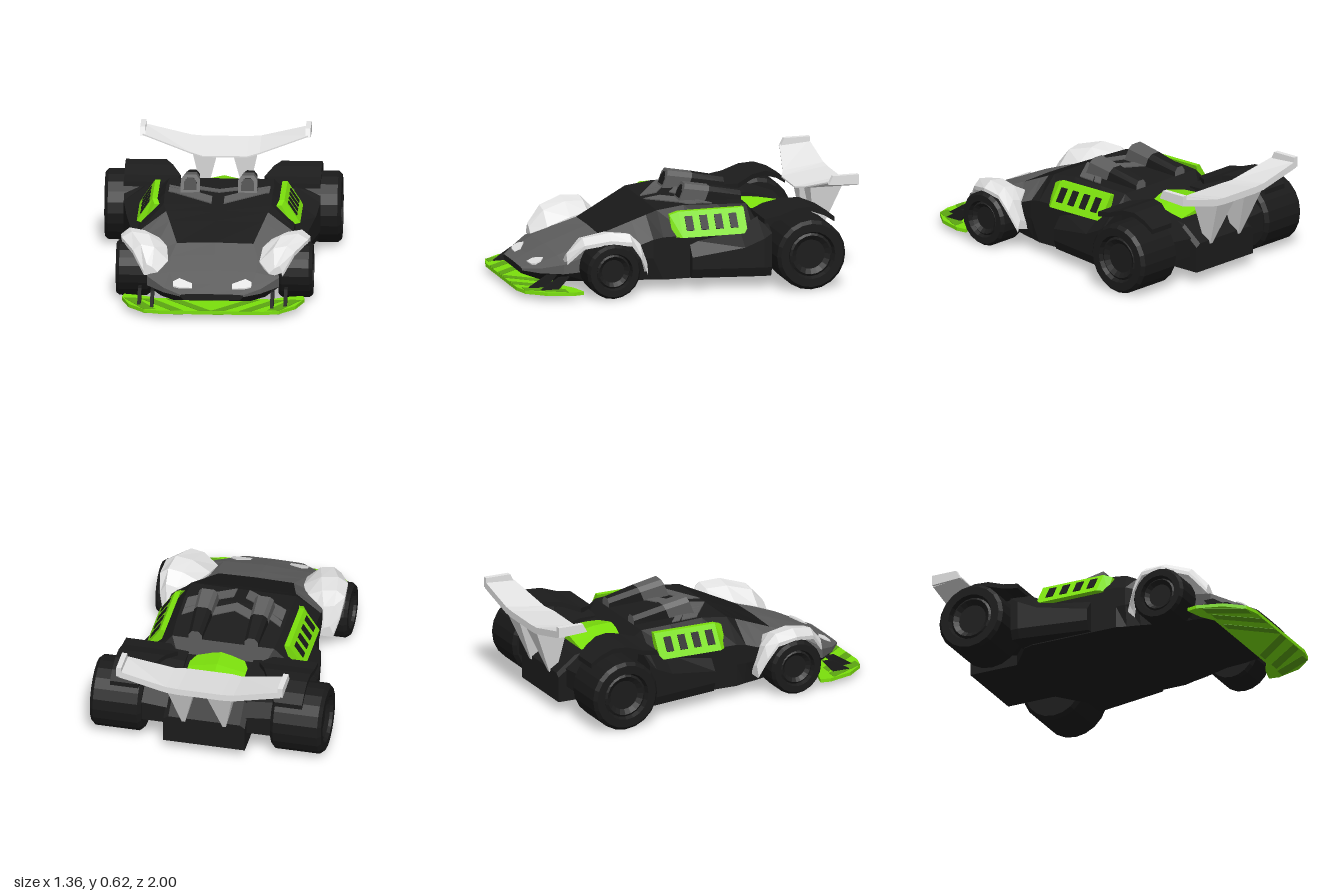
import * as THREE from 'three';

const mat = (name, color) => Object.assign(new THREE.MeshStandardMaterial({ color }), { name });

export function createModel() {
  const car = new THREE.Group();
  car.name = 'raceCar';
  const black = mat('bodyBlack', 0x1c1c1c), tyre = mat('tyreBlack', 0x1a1a1a), glass = mat('glassBlack', 0x191919);
  const grey = mat('panelGrey', 0x5e5e5e), silver = mat('silver', 0xe4e4e4);
  const green = mat('green', 0x7be00c), darkGreen = mat('darkGreen', 0x5ca612);

  const add = (name, geo, material, parent = car) => {
    const m = new THREE.Mesh(geo, material);
    m.name = name;
    parent.add(m);
    return m;
  };

  // Closed faceted loft through rings of [x, y, z]; pick(i, j) chooses the material of each panel.
  function loft(name, rings, materials, pick = () => 0, side = 1) {
    const mats = [].concat(materials), faces = mats.map(() => []);
    const R = side > 0 ? rings : rings.map(r => r.map(([x, y, z]) => [-x, y, z]).reverse());
    const n = R[0].length, last = R.length - 1;
    for (let i = 0; i < last; i++) for (let j = 0; j < n; j++) {
      const k = (j + 1) % n, a = R[i][j], b = R[i][k], c = R[i + 1][k], d = R[i + 1][j];
      faces[pick(i, j)].push(a, d, b, b, d, c);
    }
    for (let j = 1; j < n - 1; j++) {
      faces[0].push(R[0][0], R[0][j], R[0][j + 1], R[last][0], R[last][j + 1], R[last][j]);
    }
    const geo = new THREE.BufferGeometry();
    geo.setAttribute('position', new THREE.Float32BufferAttribute(faces.flat(2), 3));
    let start = 0;
    faces.forEach((f, i) => { geo.addGroup(start, f.length, i); start += f.length; });
    geo.computeVertexNormals();
    return add(name, geo, mats);
  }
  const pair = (name, rings, materials, pick) => [1, -1].forEach(s =>
    loft((s > 0 ? 'left' : 'right') + name, rings, materials, pick, s));
  const mirrorRing = half => [...half, ...half.filter(p => p[0] > 0).reverse().map(([x, y, z]) => [-x, y, z])];

  // Main body: z, floor x/y, lower side x/y, shoulder x/y, top edge x/y, centre y
  const body = [
    [0.93, 0.16, 0.10, 0.18, 0.12, 0.18, 0.130, 0.15, 0.134, 0.136],
    [0.85, 0.22, 0.075, 0.28, 0.12, 0.28, 0.148, 0.22, 0.163, 0.174],
    [0.74, 0.30, 0.07, 0.38, 0.13, 0.38, 0.185, 0.25, 0.212, 0.224],
    [0.60, 0.33, 0.07, 0.36, 0.13, 0.36, 0.22, 0.25, 0.265, 0.275],
    [0.48, 0.34, 0.07, 0.36, 0.15, 0.36, 0.25, 0.22, 0.31, 0.315],
    [0.30, 0.40, 0.07, 0.43, 0.20, 0.43, 0.28, 0.27, 0.389, 0.392],
    [0.22, 0.42, 0.07, 0.44, 0.20, 0.44, 0.31, 0.293, 0.424, 0.426],
    [0.16, 0.44, 0.07, 0.44, 0.20, 0.44, 0.32, 0.31, 0.45, 0.45],
    [0.00, 0.44, 0.07, 0.44, 0.20, 0.44, 0.32, 0.31, 0.47, 0.47],
    [-0.20, 0.44, 0.07, 0.44, 0.20, 0.44, 0.32, 0.31, 0.46, 0.46],
    [-0.38, 0.44, 0.07, 0.44, 0.20, 0.44, 0.32, 0.30, 0.45, 0.45],
    [-0.44, 0.42, 0.07, 0.42, 0.20, 0.42, 0.31, 0.26, 0.38, 0.38],
    [-0.58, 0.24, 0.07, 0.24, 0.20, 0.24, 0.34, 0.21, 0.36, 0.36],
    [-0.76, 0.24, 0.07, 0.24, 0.20, 0.24, 0.31, 0.21, 0.33, 0.33],
    [-0.88, 0.24, 0.07, 0.24, 0.14, 0.24, 0.22, 0.21, 0.24, 0.24],
  ].map(([z, a, b, c, d, e, f, g, h, y]) => mirrorRing([[a, b, z], [c, d, z], [e, f, z], [g, h, z], [0, y, z]]));
  loft('body', body, [black, grey, glass], (i, j) => {
    const k = Math.min(j, 7 - j);
    if (k === 3) return i < 4 ? 1 : i < 7 ? 2 : 0;
    if (k === 2) return i < 6 ? 1 : 0;
    return k === 1 && i < 3 ? 1 : 0;
  });

  // Side pods widening towards the rear wheels
  pair('SidePod', [[0, 0.49, 0.2, 0.29], [-0.3, 0.545, 0.25, 0.34], [-0.41, 0.565, 0.3, 0.4], [-0.455, 0.565, 0.33, 0.4]]
    .map(([z, x, y, top]) => [[x - 0.02, 0.075, z], [x, 0.13, z], [x, y, z], [0.42, top, z], [0.36, 0.075, z]]), black);

  // Inner wheel housings between the rear body and the rear wheels
  pair('WheelHousing', [[-0.43, 0.41, 0.1], [-0.53, 0.41, 0.12], [-0.63, 0.385, 0.14], [-0.75, 0.34, 0.15], [-0.83, 0.28, 0.16]]
    .map(([z, top, low]) => [[0.4, low, z], [0.4, top, z], [0.19, top - 0.02, z], [0.19, low, z]]), black);

  // Rear mudguards arching over the rear wheels
  pair('RearMudguard', [[-0.41, 0.415, 0.3], [-0.5, 0.43, 0.24], [-0.6, 0.465, 0.29], [-0.69, 0.47, 0.33], [-0.77, 0.44, 0.37], [-0.83, 0.4, 0.4]]
    .map(([z, y, x]) => [[0.565, y, z], [x, y, z], [x, y - 0.028, z], [0.565, y - 0.028, z]]), black);

  // Front mudguards: z, inner x/y, outer x/y, crown y
  pair('FrontMudguard', [
    [0.725, 0.32, 0.205, 0.4, 0.21, 0.25],
    [0.64, 0.262, 0.25, 0.465, 0.31, 0.345],
    [0.5, 0.275, 0.295, 0.535, 0.345, 0.38],
    [0.38, 0.32, 0.31, 0.545, 0.33, 0.37],
    [0.315, 0.37, 0.24, 0.53, 0.24, 0.305],
    [0.27, 0.41, 0.14, 0.5, 0.14, 0.19],
  ].map(([z, xi, yi, xo, yo, top]) => {
    const at = t => xo + (xi - xo) * t;
    const upper = [[xo, yo, z], [at(0.22), top, z], [at(0.6), top - 0.015, z], [xi, yi, z]];
    return [...upper, ...upper.slice().reverse().map(([x, y]) => [x, y - 0.022, z])];
  }), silver);

  // Thin bands running across the car: x, front z, rear z
  const band = (rows, height, t = 0.008) => rows.map(([x, zf, zr]) =>
    [[x, height(zr) - t, zr], [x, height(zr), zr], [x, height(zf), zf], [x, height(zf) - t, zf]]);

  // Roof chevrons
  const roofY = z => 0.476 - (z > 0 ? z * 0.125 : -z * 0.05);
  const chevron = (x0, x1, z0, z1, w) => Array.from({ length: 7 }, (_, i) => {
    const t = i / 6, z = z1 + (z0 - z1) * t;
    return [x1 + (x0 - x1) * t, z, z - w];
  });
  pair('RoofChevronRear', band(chevron(0, 0.12, -0.01, -0.08, 0.075), roofY), grey);
  pair('RoofChevronFront', band(chevron(0.035, 0.29, 0.155, -0.02, 0.1), roofY), grey);
  pair('RoofChevronSide', band(chevron(0.2, 0.29, -0.06, -0.13, 0.05), roofY), grey);

  // Headlights
  const hoodY = z => 0.173 + (0.85 - z) * 0.46;
  pair('Headlight', band([[0.225, 0.865, 0.83], [0.19, 0.878, 0.805], [0.115, 0.882, 0.845]], hoodY), silver);

  // Roof scoops with dark mouths
  const scoopRing = (z, rake, top, w, base) => [[w, base], [w, top - 0.025], [w - 0.02, top], [0.02 - w, top], [-w, top - 0.025], [-w, base]]
    .map(([x, y]) => [x + 0.165, y, z - rake * (y - 0.46)]);
  pair('Scoop', [scoopRing(0, 0.4, 0.567, 0.055, 0.44), scoopRing(-0.16, 0.4, 0.54, 0.05, 0.44), scoopRing(-0.38, 0, 0.5, 0.04, 0.44)],
    [grey, black], i => i);
  pair('ScoopMouth', [scoopRing(0.004, 0.4, 0.552, 0.037, 0.485), scoopRing(-0.004, 0.4, 0.552, 0.037, 0.485)], glass);

  // Green engine cover with a centre ridge
  loft('engineCover', [[-0.425, 0.405], [-0.54, 0.4], [-0.7, 0.37]].map(([z, y]) =>
    mirrorRing([[0.17, y - 0.09, z], [0.17, y - 0.03, z], [0.08, y - 0.012, z], [0, y + 0.006, z]])), green);

  // Green side vents with four slots each
  pair('SideVent', [[0.1, 0.425, 0.365, 0.43], [0.05, 0.47, 0.38, 0.45], [-0.34, 0.47, 0.38, 0.45]]
    .map(([z, xo, xi, top]) => [[xo, 0.315, z], [xi, top, z], [xi - 0.03, top, z], [0.4, 0.3, z]]), green);
  for (const s of [1, -1]) for (let i = 0; i < 4; i++) {
    const slot = add('ventSlot', new THREE.BoxGeometry(0.009, 0.09, 0.045), glass);
    slot.position.set(s * 0.423, 0.386, -0.002 - i * 0.088);
    slot.rotation.z = s * 0.588;
  }

  // Front splitter with slanted stripes
  const plate = (name, pts, top, depth, material) => {
    const geo = new THREE.ExtrudeGeometry(new THREE.Shape(pts.map(p => new THREE.Vector2(...p))), { depth, bevelEnabled: false });
    add(name, geo.rotateX(Math.PI / 2).translate(0, top, 0), material);
  };
  const edge = [[0.3, 1], [0.39, 0.975], [0.48, 0.87], [0.525, 0.72], [0.515, 0.66], [0.41, 0.69], [0.33, 0.74]];
  plate('splitter', [...edge, ...edge.slice().reverse().map(([x, z]) => [-x, z])], 0.055, 0.02, green);
  for (const s of [1, -1]) {
    for (const [xf, zf, xb, zb] of [[0, 0.998, 0.2, 0.76], [0.16, 0.998, 0.345, 0.76], [0.32, 0.975, 0.44, 0.75]]) {
      plate('splitterStripe', [[xf, zf], [xf + 0.07, zf], [xb + 0.07, zb], [xb, zb]].map(([x, z]) => [s * x, z]), 0.057, 0.024, darkGreen);
    }
  }
  // Fins holding the splitter
  for (const [x, z] of [[0.345, 0.95], [0.42, 0.9]]) {
    pair('SplitterFin', [x + 0.01, x - 0.01].map(px =>
      [[px, 0.05, z - 0.11], [px, 0.125, z - 0.18], [px, 0.125, z - 0.12], [px, 0.05, z]]), black);
  }

  // Rear wing: x, front z, front y, rear y
  const wing = [[0.475, -0.82, 0.575, 0.595], [0.2, -0.755, 0.488, 0.53], [0.13, -0.725, 0.475, 0.525]];
  loft('rearWing', [...wing, ...wing.slice().reverse().map(([x, ...r]) => [-x, ...r])].map(([x, zf, yf, yr]) =>
    [[x, yr - 0.04, -1], [x, yr, -1], [x, yf + 0.008, zf], [x, yf, zf]]), silver);
  pair('WingEndPlate', [0.49, 0.46].map(x =>
    [[x, 0.56, -1], [x, 0.62, -1], [x, 0.62, -0.845], [x, 0.57, -0.82]]), silver);
  pair('WingStrut', [[0.492, 0.04, 0.19, -0.8, -0.995], [0.22, 0.11, 0.13, -0.84, -0.885]].map(([y, x0, x1, zf, zb]) =>
    [[x1, y, zf], [x1, y, zb], [x0, y, zb], [x0, y, zf]]), silver);

  // Wheels and axles
  const turned = pts => {
    const geo = new THREE.LatheGeometry(pts.map(p => new THREE.Vector2(...p)), 20).rotateZ(-Math.PI / 2).toNonIndexed();
    geo.computeVertexNormals();
    return geo;
  };
  for (const [label, r, w, x, y, z] of [['front', 0.16, 0.195, 0.467, 0.165, 0.49], ['rear', 0.205, 0.3, 0.53, 0.21, -0.66]]) {
    const h = w / 2;
    for (const s of [1, -1]) {
      const wheel = new THREE.Group();
      wheel.name = label + 'Wheel';
      wheel.position.set(s * x, y, z);
      wheel.rotation.y = s > 0 ? 0 : Math.PI;
      add('tyre', turned([[0, -h], [r * 0.9, -h], [r, 0.02 - h], [r, h - 0.02], [r * 0.91, h], [r * 0.68, h], [r * 0.62, h - 0.025]]), tyre, wheel);
      add('rim', turned([[r * 0.63, h - 0.025], [r * 0.56, h - 0.015], [r * 0.42, h - 0.035], [0, h - 0.035]]), black, wheel);
      car.add(wheel);
    }
    add(label + 'Axle', new THREE.CylinderGeometry(0.04, 0.04, x * 2 - w + 0.02, 10).rotateZ(Math.PI / 2), black).position.set(0, y, z);
  }
  return car;
}
